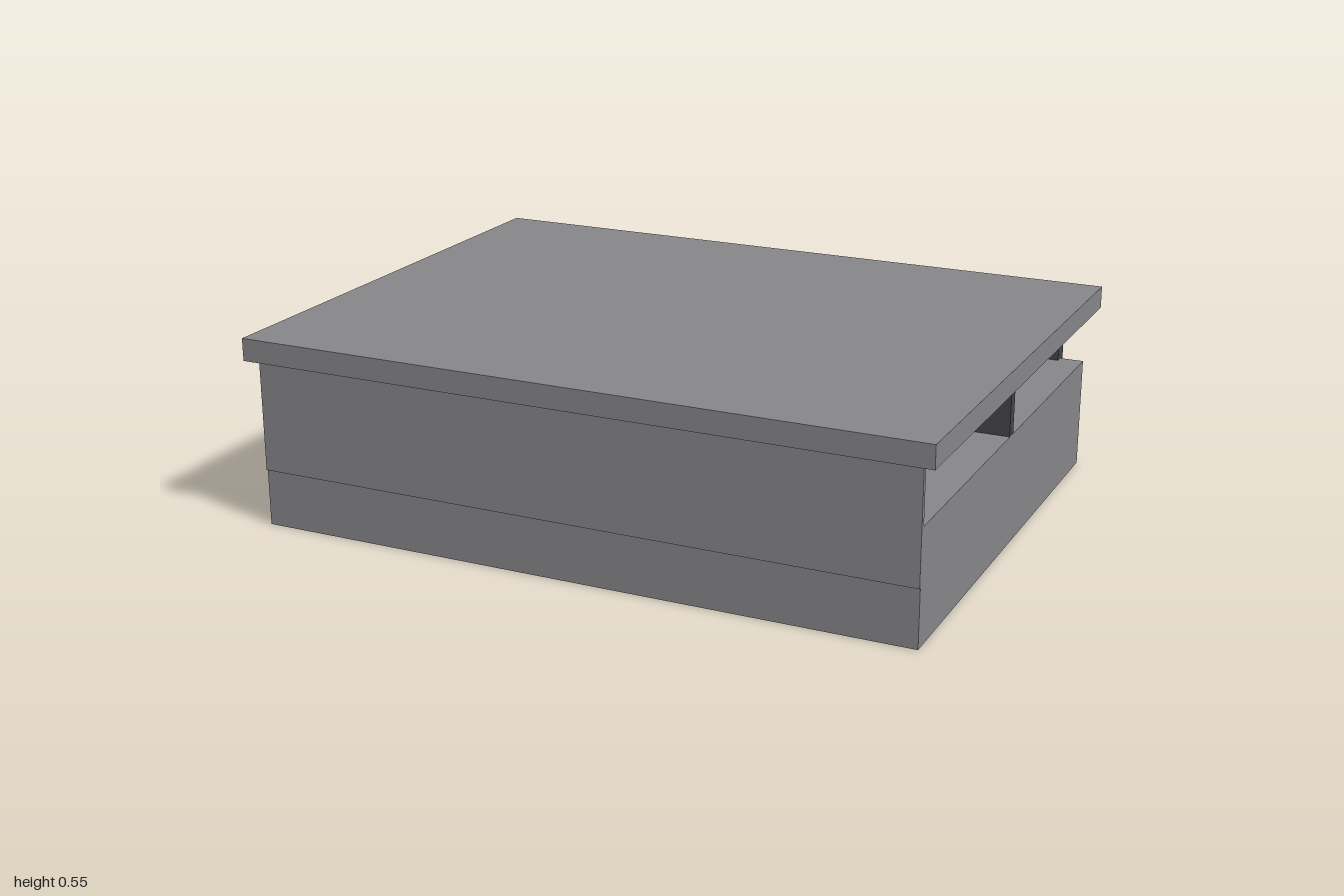
import * as THREE from 'three';

export function createModel() {
  const model = new THREE.Group();
  const grey = new THREE.MeshStandardMaterial({ color: 0x868588 });
  grey.name = 'mid grey';
  const dark = new THREE.MeshStandardMaterial({ color: 0x444347 });
  dark.name = 'dark grey';
  const light = new THREE.MeshStandardMaterial({ color: 0xc2c2c6 });
  light.name = 'light grey';

  // Box given by its [min, max] extents on each axis
  function addBox(name, material, [x0, x1], [y0, y1], [z0, z1]) {
    const mesh = new THREE.Mesh(new THREE.BoxGeometry(x1 - x0, y1 - y0, z1 - z0), material);
    mesh.position.set((x0 + x1) / 2, (y0 + y1) / 2, (z0 + z1) / 2);
    mesh.name = name;
    model.add(mesh);
  }

  // Solid base and overhanging lid
  addBox('base', grey, [-0.965, 0.965], [0, 0.325], [-0.71, 0.745]);
  addBox('lid', grey, [-1, 1], [0.488, 0.553], [-0.743, 0.773]);

  // Front panel, standing slightly proud of the base
  addBox('frontPanel', grey, [-0.965, 0.965], [0.165, 0.488], [0.736, 0.75]);

  // Dark wall across the middle and dark back panel
  addBox('middlePartition', dark, [-0.964, 0.964], [0.165, 0.488], [0, 0.033]);
  addBox('backPanel', dark, [-0.895, 0.895], [0.001, 0.488], [-0.735, -0.685]);

  // Row of blocks on the back panel
  for (let i = 0; i < 4; i++) {
    const x = -0.73 + i * 0.485;
    addBox('backBlock' + (i + 1), light, [x - 0.05, x + 0.05], [0.213, 0.276], [-0.775, -0.735]);
  }
  return model;
}
